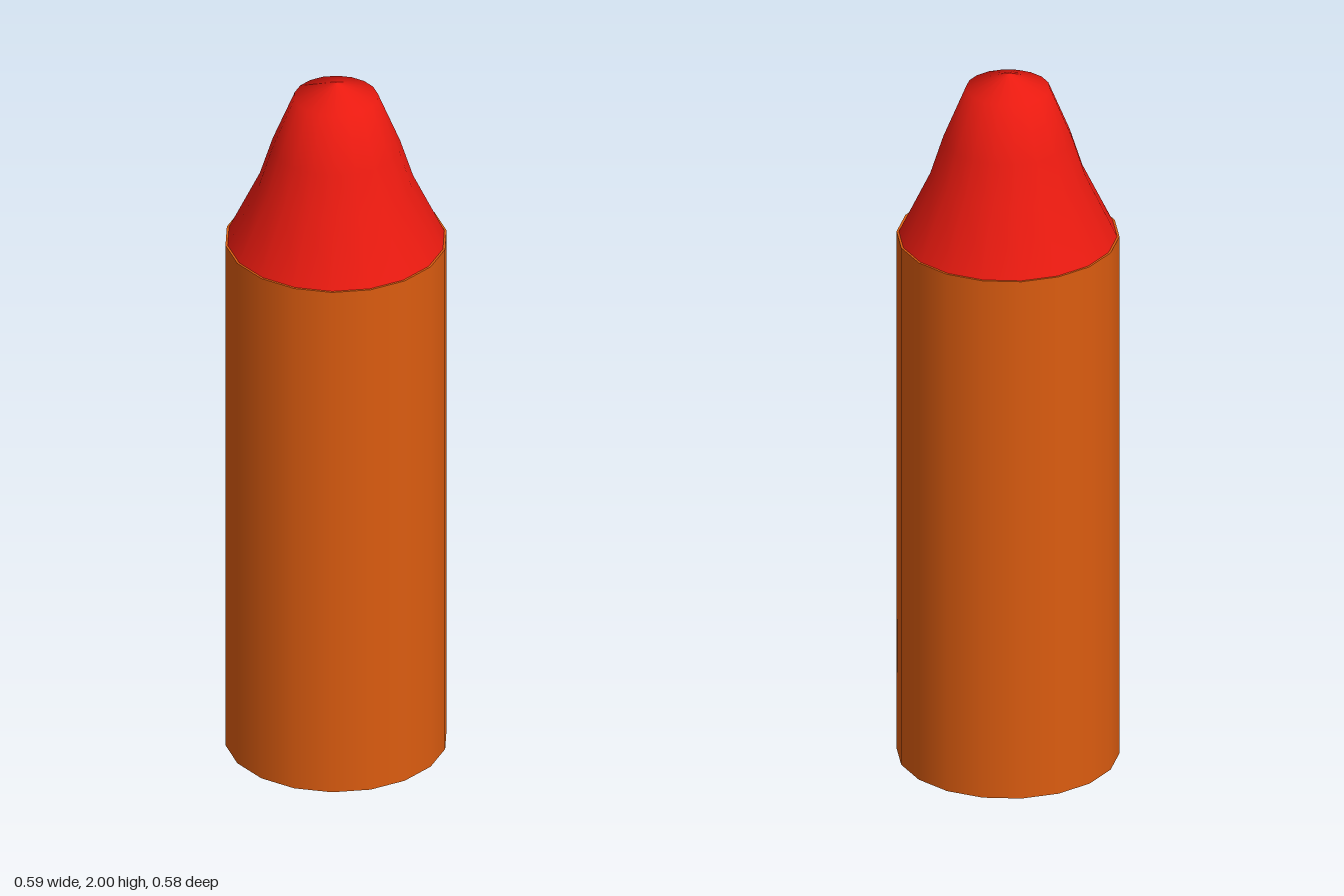
import * as THREE from 'three';

const SIDES = 18;
const START = Math.PI / 2; // puts a corner on the x axis

function addPart(group, name, geometry, color) {
  const mesh = new THREE.Mesh(geometry, new THREE.MeshStandardMaterial({ color }));
  mesh.name = name;
  group.add(mesh);
}

export function createModel() {
  const group = new THREE.Group();
  group.name = 'crayon';

  // Plain barrel, closed at both ends
  const barrelHeight = 1.525;
  const barrel = new THREE.CylinderGeometry(0.297, 0.297, barrelHeight, SIDES, 1, false, START);
  barrel.translate(0, barrelHeight / 2, 0);
  addPart(group, 'barrel', barrel, 0xdc5c10);

  // Flared tip with a blunt, shallow point
  const profile = [
    [0.291, barrelHeight], [0.207, 1.70], [0.172, 1.81], [0.112, 1.957], [0, 2],
  ].map(([r, y]) => new THREE.Vector2(r, y));
  addPart(group, 'tip', new THREE.LatheGeometry(profile, SIDES, START), 0xea1a10);

  return group;
}
